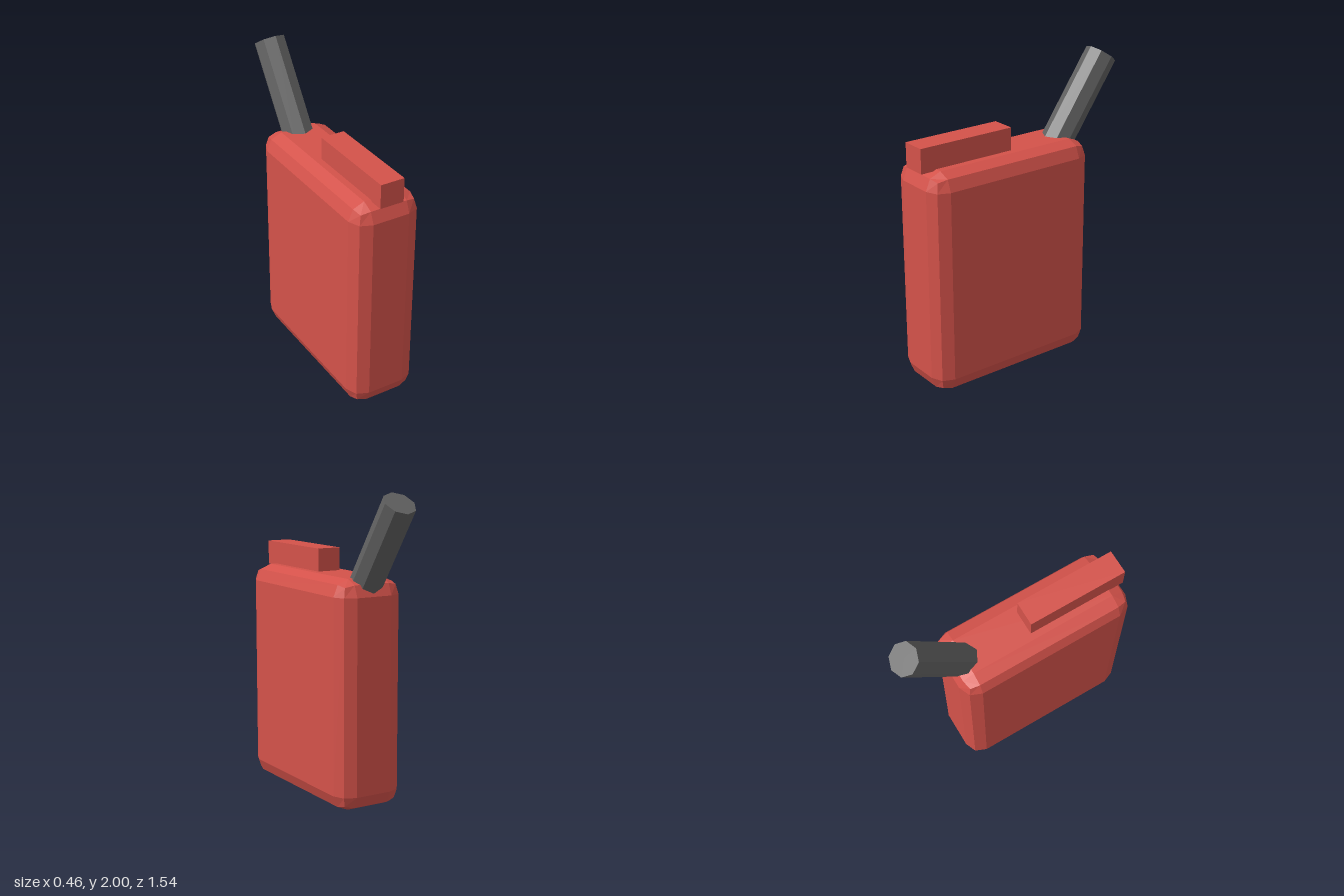
import * as THREE from 'three';
import { RoundedBoxGeometry } from 'three/addons/geometries/RoundedBoxGeometry.js';

export function createModel() {
  const red = new THREE.MeshStandardMaterial({ color: 0xd4524a });
  red.name = 'red';
  const darkGrey = new THREE.MeshStandardMaterial({ color: 0x606060 });
  darkGrey.name = 'dark grey';

  const model = new THREE.Group();
  model.name = 'fuelCan';

  // Adds a faceted part to the model
  function addPart(name, geometry, material, x, y, z) {
    const faceted = geometry.index ? geometry.toNonIndexed() : geometry;
    faceted.computeVertexNormals();
    const mesh = new THREE.Mesh(faceted, material);
    mesh.name = name;
    mesh.position.set(x, y, z);
    model.add(mesh);
    return mesh;
  }

  // Tank with two-facet bevels on every edge
  addPart('tank', new RoundedBoxGeometry(0.46, 1.466, 1.198, 1, 0.106), red, 0, 0.733, 0.172);

  // Block handle along the top, flush with the front
  addPart('handle', new THREE.BoxGeometry(0.16, 0.158, 0.665), red, 0, 1.535, 0.4385);

  // Eight-sided spout leaning backwards, its foot buried in the tank
  const length = 0.68;
  const tilt = THREE.MathUtils.degToRad(35);
  const spout = addPart('spout', new THREE.CylinderGeometry(0.104, 0.104, length, 8), darkGrey,
    0, 1.94 - Math.cos(tilt) * length / 2, -0.686 + Math.sin(tilt) * length / 2);
  spout.rotation.x = -tilt;

  return model;
}
